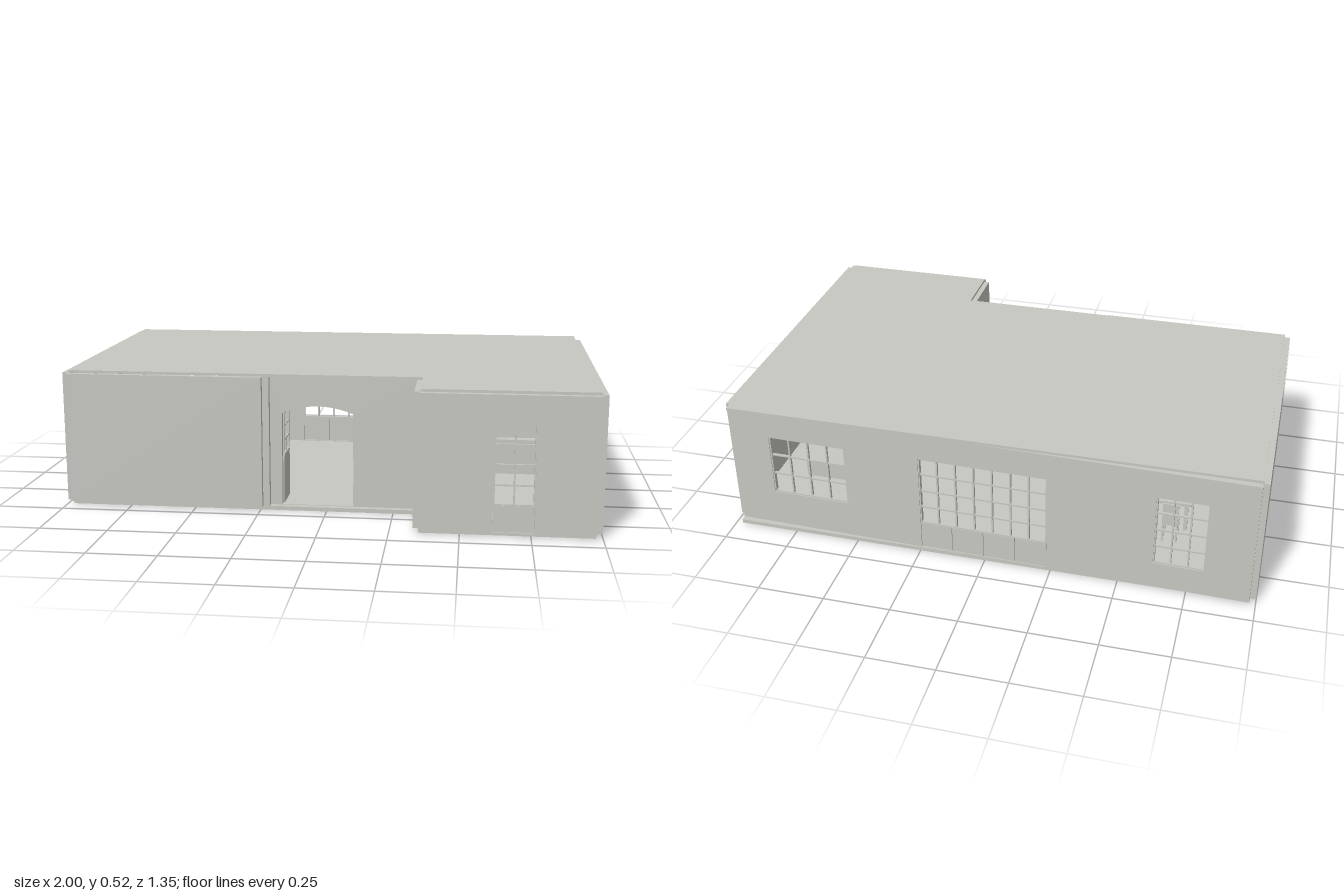
import * as THREE from 'three';

const stone = new THREE.MeshStandardMaterial({ color: 0xc8c8c2 });
stone.name = 'pale grey';

const FLOOR = 0.015, CEILING = 0.51, THICK = 0.022;

function box(parent, name, x0, x1, y0, y1, z0, z1) {
  const mesh = new THREE.Mesh(new THREE.BoxGeometry(x1 - x0, y1 - y0, z1 - z0), stone);
  mesh.position.set((x0 + x1) / 2, (y0 + y1) / 2, (z0 + z1) / 2);
  mesh.name = name;
  parent.add(mesh);
  return mesh;
}

function rectPath(x0, x1, y0, y1, Type = THREE.Path) {
  const p = new Type();
  p.moveTo(x0, y0);
  p.lineTo(x1, y0);
  p.lineTo(x1, y1);
  p.lineTo(x0, y1);
  p.closePath();
  return p;
}

// Frame with a lattice of glazing bars, within the thickness of the wall
function glazing(parent, name, { x0, x1, y0, y1, cols, rows }, z = THICK / 2) {
  const g = new THREE.Group();
  g.name = name;
  const bar = (a, b, c, d, h) => box(g, 'glazingBar', a, b, c, d, z - h, z + h);
  for (let i = 0; i <= cols; i++) {
    const x = THREE.MathUtils.lerp(x0, x1, i / cols), edge = i % cols === 0;
    const w = edge ? 0.005 : 0.003;
    bar(x - w, x + w, y0, y1, edge ? 0.008 : 0.005);
  }
  for (let j = 0; j <= rows; j++) {
    const y = THREE.MathUtils.lerp(y0, y1, j / rows), edge = j % rows === 0;
    const w = edge ? 0.005 : 0.003;
    bar(x0, x1, y - w, y + w, edge ? 0.0075 : 0.0045);
  }
  parent.add(g);
}

// Wall in its own plane, outer side facing local +z, pierced by windows
function wall(name, x0, x1, windows = [], openings = []) {
  const g = new THREE.Group();
  g.name = name;
  const shape = rectPath(x0, x1, FLOOR, CEILING, THREE.Shape);
  shape.holes.push(...openings);
  for (const w of windows) {
    shape.holes.push(rectPath(w.x0, w.x1, w.panel ? FLOOR + 0.003 : w.y0, w.y1));
    glazing(g, name + 'Window', w);
    // solid panels under full-height windows
    if (w.panel) {
      const step = (w.x1 - w.x0) / w.panel;
      for (let i = 0; i < w.panel; i++) {
        const a = w.x0 + i * step;
        box(g, 'lowerPanel', a + 0.001, a + step - 0.001, FLOOR + 0.004, w.y0, 0.003, THICK - 0.002);
      }
    }
  }
  const geo = new THREE.ExtrudeGeometry(shape, { depth: THICK, bevelEnabled: false, curveSegments: 10 });
  const mesh = new THREE.Mesh(geo, stone);
  mesh.name = name + 'Surface';
  g.add(mesh);
  return g;
}

// L-shaped plan slab
function slab(name, y0, y1) {
  const s = new THREE.Shape();
  [[-0.978, 0.65], [0.976, 0.65], [0.976, -0.65], [0.355, -0.65], [0.355, -0.43], [-0.978, -0.43]]
    .forEach(([x, y], i) => (i ? s.lineTo(x, y) : s.moveTo(x, y)));
  s.closePath();
  const geo = new THREE.ExtrudeGeometry(s, { depth: y1 - y0, bevelEnabled: false });
  geo.rotateX(-Math.PI / 2);
  geo.translate(0, y0, 0);
  const mesh = new THREE.Mesh(geo, stone);
  mesh.name = name;
  return mesh;
}

function chair(parent, x, z, turn) {
  const g = new THREE.Group();
  g.name = 'chair';
  box(g, 'chairSeat', -0.03, 0.03, 0.075, 0.083, -0.03, 0.03);
  box(g, 'chairBack', -0.03, 0.03, 0.083, 0.17, -0.03, -0.024);
  for (const sx of [-1, 1]) for (const sz of [-1, 1])
    box(g, 'chairLeg', sx * 0.026 - 0.004, sx * 0.026 + 0.004, 0, 0.075, sz * 0.026 - 0.004, sz * 0.026 + 0.004);
  g.position.set(x, FLOOR, z);
  g.rotation.y = turn;
  parent.add(g);
}

export function createModel() {
  const house = new THREE.Group();
  house.name = 'house';
  house.add(slab('floorSlab', 0, FLOOR), slab('roofSlab', CEILING, 0.52));

  // Front walls
  const frontLeft = wall('frontPlainWall', -0.978, -0.24);
  frontLeft.position.z = 0.431;

  const wingFront = wall('wingFrontWall', 0.355, 0.976,
    [{ x0: 0.615, x1: 0.76, y0: 0.115, y1: 0.405, cols: 2, rows: 4, panel: 1 }]);
  wingFront.position.z = 0.65;

  // Recessed entrance with a shallow arch
  const arch = new THREE.Path();
  arch.moveTo(-0.17, FLOOR + 0.002);
  arch.lineTo(0.1, FLOOR + 0.002);
  arch.lineTo(0.1, 0.37);
  arch.quadraticCurveTo(-0.035, 0.425, -0.17, 0.37);
  arch.closePath();
  const entry = wall('entranceWall', -0.215, 0.335, [], [arch]);
  entry.position.z = 0.385;
  box(house, 'entranceReturn', -0.24, -0.215, FLOOR, CEILING, 0.385, 0.43);

  // Double door, standing open inwards
  for (const x of [-0.172, 0.102]) {
    const leaf = new THREE.Group();
    leaf.name = 'doorLeaf';
    box(leaf, 'doorPanel', 0, 0.134, FLOOR, 0.2, -0.006, 0.006);
    glazing(leaf, 'doorGlazing', { x0: 0.005, x1: 0.129, y0: 0.2, y1: 0.365, cols: 2, rows: 3 }, 0);
    leaf.rotation.y = Math.PI / 2;
    leaf.position.set(x, 0, 0.384);
    house.add(leaf);
  }

  // Side walls
  const right = wall('leftSideWall', -0.645, 0.605, [
    { x0: -0.553, x1: -0.425, y0: 0.17, y1: 0.405, cols: 2, rows: 3 },
    { x0: -0.415, x1: -0.285, y0: 0.17, y1: 0.405, cols: 2, rows: 3 },
  ]);
  right.rotation.y = Math.PI / 2;
  right.position.x = 0.977;

  const left = wall('rightSideWall', -0.65, 0.43,
    [{ x0: 0.01, x1: 0.32, y0: 0.235, y1: 0.405, cols: 4, rows: 2 }]);
  left.rotation.y = -Math.PI / 2;
  left.position.x = -0.978;

  const wingSide = wall('wingSideWall', 0.385, 0.646);
  wingSide.rotation.y = -Math.PI / 2;
  wingSide.position.x = 0.356;

  // Back wall, set slightly askew to the slabs
  const back = wall('backWall', -0.978, 0.978, [
    { x0: -0.83, x1: -0.53, y0: 0.16, y1: 0.405, cols: 4, rows: 3 },
    { x0: -0.245, x1: 0.237, y0: 0.125, y1: 0.41, cols: 7, rows: 4, panel: 4 },
    { x0: 0.627, x1: 0.813, y0: 0.12, y1: 0.405, cols: 3, rows: 4 },
  ]);
  back.rotation.y = Math.PI - 0.0235;
  back.position.z = -0.629;

  house.add(frontLeft, wingFront, entry, right, left, wingSide, back);

  // Furniture seen through the windows
  box(house, 'kitchenCounter', -0.97, -0.86, FLOOR, 0.2, -0.1, 0.42);
  box(house, 'kitchenCounterEnd', -0.86, -0.3, FLOOR, 0.2, 0.32, 0.42);
  box(house, 'wallCupboard', -0.8, -0.3, 0.28, 0.42, 0.36, 0.42);
  box(house, 'tableTop', -0.72, -0.42, 0.135, 0.147, -0.32, -0.12);
  for (const x of [-0.7, -0.44]) for (const z of [-0.3, -0.14])
    box(house, 'tableLeg', x - 0.007, x + 0.007, FLOOR, 0.135, z - 0.007, z + 0.007);
  for (const x of [-0.65, -0.5]) {
    chair(house, x, -0.36, 0);
    chair(house, x, -0.08, Math.PI);
  }
  box(house, 'wingCabinet', 0.36, 0.44, FLOOR, 0.23, 0.42, 0.5);
  box(house, 'wingShelf', 0.36, 0.44, FLOOR, 0.3, 0.33, 0.41);
  box(house, 'sofaSeat', 0.45, 0.85, FLOOR, 0.09, -0.3, -0.14);
  box(house, 'sofaBack', 0.45, 0.85, 0.09, 0.16, -0.18, -0.14);

  // Potted plant on the cabinet
  const pot = new THREE.Mesh(new THREE.CylinderGeometry(0.018, 0.013, 0.025, 10), stone);
  pot.position.set(0.4, 0.2425, 0.45);
  pot.name = 'plantPot';
  house.add(pot);
  for (let i = 0; i < 6; i++) {
    const leaf = new THREE.Mesh(new THREE.ConeGeometry(0.004, 0.03, 5), stone);
    const a = i * Math.PI / 3;
    leaf.position.set(0.4 + 0.01 * Math.cos(a), 0.265, 0.45 + 0.01 * Math.sin(a));
    leaf.rotation.set(0.4 * Math.sin(a), 0, -0.4 * Math.cos(a));
    leaf.name = 'plantLeaf';
    house.add(leaf);
  }
  return house;
}
